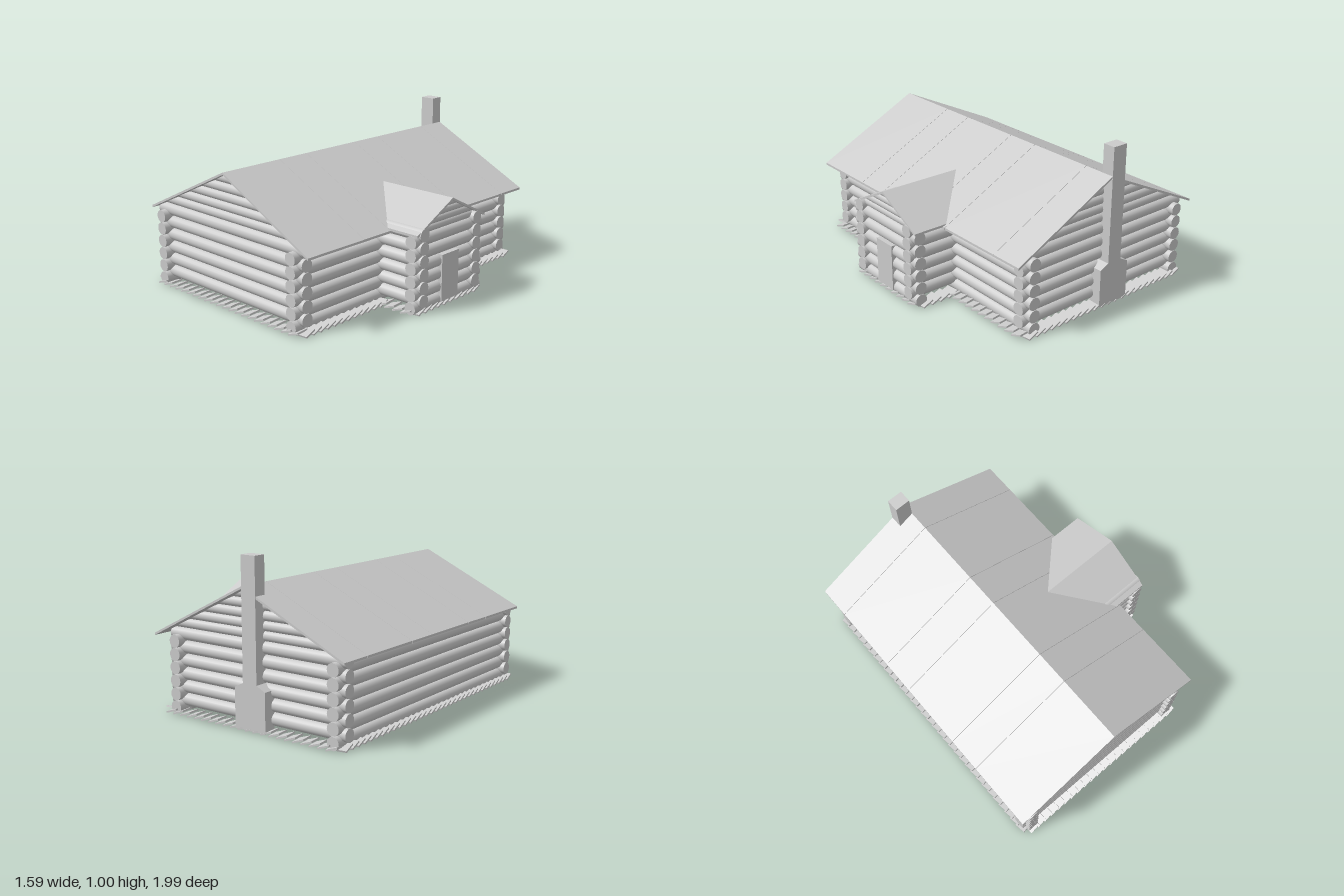
import * as THREE from 'three';

const mat = new THREE.MeshStandardMaterial({ color: 0xcccccc, side: THREE.DoubleSide });
const R = 0.039, PITCH = 0.08, THICK = 0.014;

// Roof lines: height of ridge, its position and the slopes on either side
const MAIN = { ridge: -0.105, top: 0.825, lo: -0.8, loY: 0.495, hi: 0.585, hiY: 0.478 };
const PORCH = { ridge: -0.01, top: 0.65, lo: -0.325, loY: 0.49, hi: 0.305, hiY: 0.49 };
const loAt = (r, y) => r.ridge - (r.top - y) * (r.ridge - r.lo) / (r.top - r.loY);
const hiAt = (r, y) => r.ridge + (r.top - y) * (r.hi - r.ridge) / (r.top - r.hiY);

function add(parent, name, geometry) {
  const mesh = new THREE.Mesh(geometry, mat);
  mesh.name = name;
  parent.add(mesh);
  return mesh;
}

// Log from a to b along an axis; with a roof given, its ends are cut to the slope
function log(parent, name, axis, a, b, y, across, r = R, roof = null) {
  const g = new THREE.CylinderGeometry(r, r, b - a, 20);
  g.rotateZ(-Math.PI / 2).translate((a + b) / 2, y, 0);
  if (roof) {
    const p = g.attributes.position, mid = (a + b) / 2;
    for (let i = 0; i < p.count; i++) {
      const py = Math.min(p.getY(i) + THICK, roof.top);
      const x = p.getX(i);
      p.setX(i, x < mid ? Math.max(a, loAt(roof, py)) : Math.min(b, hiAt(roof, py)));
    }
  }
  if (axis === 'z') g.rotateY(-Math.PI / 2);
  g.translate(axis === 'z' ? across : 0, 0, axis === 'z' ? 0 : across);
  add(parent, name, g);
}

// Thin gabled section extruded along +z
function chevron(r, depth, sign = 1) {
  const s = new THREE.Shape([
    [r.lo, r.loY], [r.ridge, r.top], [r.hi, r.hiY],
    [r.hi, r.hiY - THICK], [r.ridge, r.top - THICK], [r.lo, r.loY - THICK],
  ].map(([u, y]) => new THREE.Vector2(u * sign, y)));
  return new THREE.ExtrudeGeometry(s, { depth, bevelEnabled: false });
}

// Row of overlapping tilted slabs between two ground points
function slabRow(parent, x0, z0, x1, z1) {
  const len = Math.hypot(x1 - x0, z1 - z0), n = Math.round(len / 0.057);
  for (let i = 0; i < n; i++) {
    const t = (i + 0.5) / n;
    const slab = add(parent, 'footingSlab', new THREE.BoxGeometry(0.075, 0.01, 0.085));
    slab.position.set(x0 + (x1 - x0) * t, 0.0175, z0 + (z1 - z0) * t);
    slab.rotation.order = 'YXZ';
    slab.rotation.y = Math.atan2(z0 - z1, x1 - x0) + 0.12;
    slab.rotation.z = 0.32;
  }
}

function group(parent, name) {
  const g = new THREE.Group();
  g.name = name;
  parent.add(g);
  return g;
}

export function createModel() {
  const model = new THREE.Group();
  model.name = 'logCabin';

  // Interlocking log walls, open where the porch joins
  const walls = group(model, 'mainWalls');
  const porch = group(model, 'porchWalls');
  for (let i = 0; i < 6; i++) {
    const yz = 0.04 + i * PITCH, yx = yz + PITCH / 2;
    log(walls, 'leftSideLog', 'z', -0.97, 0.97, yz, -0.71);
    for (const s of [-1, 1]) {
      log(walls, 'endWallLog', 'x', -0.77, 0.505, yx, s * 0.9, R, MAIN);
      log(walls, 'porchSideLogOfHouse', 'z', s < 0 ? -0.97 : 0.18, s < 0 ? -0.18 : 0.97, yz, 0.445);
      log(porch, 'porchSideLog', 'x', 0.385, 0.79, yx, s * 0.245);
    }
    log(porch, 'porchFrontLog', 'z', -0.31, 0.31, yz, 0.74);
  }

  // Gable logs, cut to the roof slopes
  for (let i = 0; i < 5; i++) {
    for (const s of [-1, 1]) {
      log(walls, 'gableLog', 'x', -0.77, 0.52, 0.546 + i * 0.057, s * 0.9, 0.031, MAIN);
    }
  }
  for (let i = 0; i < 4; i++) {
    log(porch, 'porchGableLog', 'z', -0.27, 0.26, 0.5 + i * 0.04, 0.74, 0.026, PORCH);
  }

  // Main roof in panels
  const roof = group(model, 'mainRoof');
  const seams = [-0.99, -0.78, -0.34, -0.12, 0.31, 0.53, 0.97];
  for (let i = 0; i < seams.length - 1; i++) {
    const panel = chevron(MAIN, seams[i + 1] - seams[i] - 0.002);
    add(roof, 'roofPanel', panel.translate(0, 0, seams[i]));
  }

  // Porch roof, its inner edge running along the main roof slope
  const porchRoof = chevron(PORCH, 0.785, -1).rotateY(Math.PI / 2);
  const p = porchRoof.attributes.position;
  for (let i = 0; i < p.count; i++) {
    if (p.getX(i) < 0.4) p.setX(i, hiAt(MAIN, p.getY(i)));
  }
  porchRoof.computeVertexNormals();
  add(model, 'porchRoof', porchRoof);

  // Door
  add(model, 'door', new THREE.BoxGeometry(0.03, 0.29, 0.155)).position.set(0.77, 0.175, -0.002);

  // Chimney with sloped shoulders over a wide base
  const outline = new THREE.Shape([
    [-0.11, 0.01], [0.11, 0.01], [0.11, 0.25], [0.05, 0.28], [0.05, 1],
    [-0.05, 1], [-0.05, 0.28], [-0.11, 0.25],
  ].map(([x, y]) => new THREE.Vector2(x, y)));
  add(model, 'chimney', new THREE.ExtrudeGeometry(outline, { depth: 0.08, bevelEnabled: false }))
    .position.set(-0.155, 0, -0.992);

  // Footing slabs around the house and porch
  const footing = group(model, 'footing');
  const path = [[-0.74, 0.945], [0.5, 0.945], [0.5, 0.285], [0.745, 0.285], [0.745, -0.295],
    [0.5, -0.295], [0.5, -0.95], [-0.74, -0.95], [-0.74, 0.945]];
  for (let i = 0; i < path.length - 1; i++) slabRow(footing, ...path[i], ...path[i + 1]);

  return model;
}
